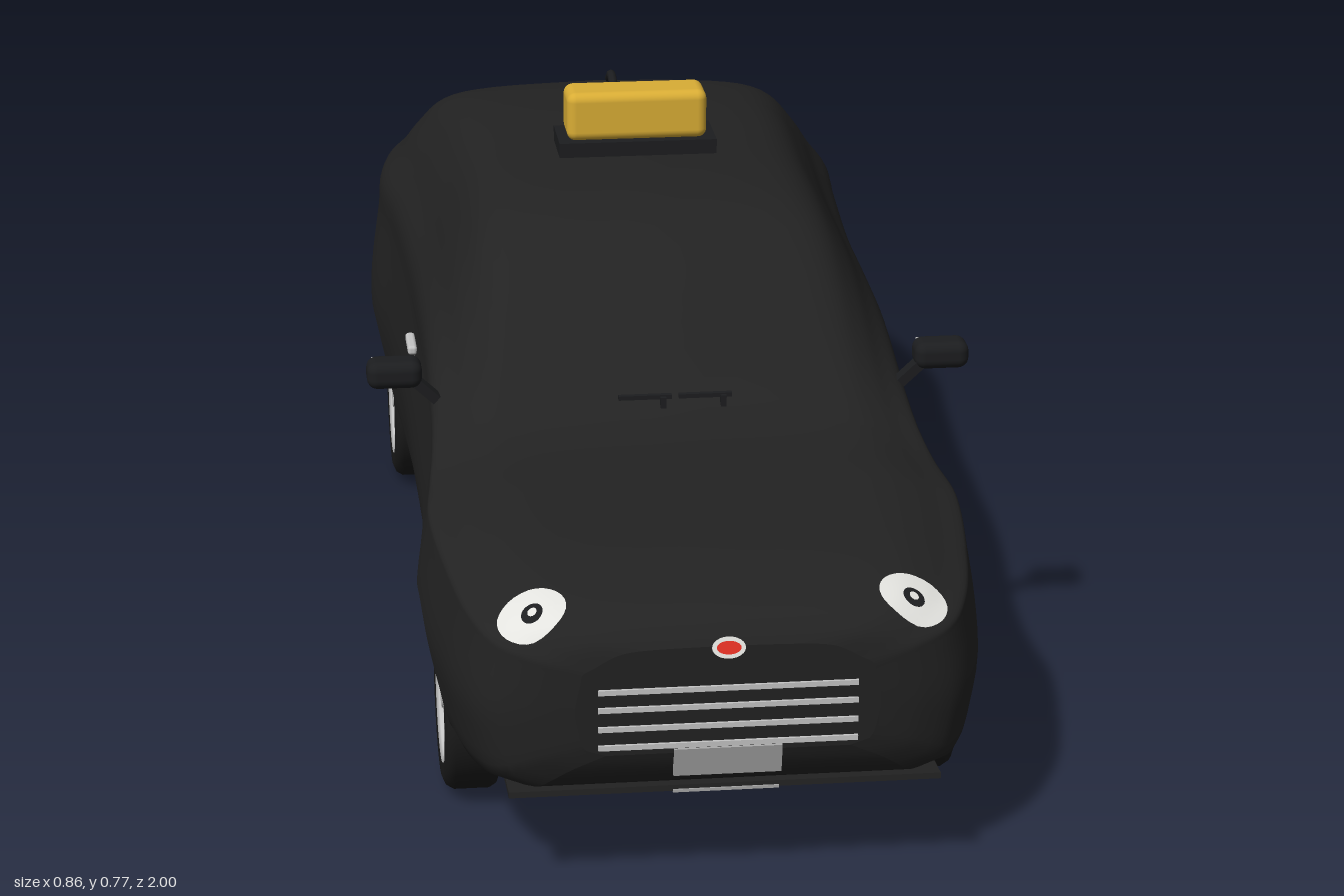
import * as THREE from 'three';
import { RoundedBoxGeometry } from 'three/addons/geometries/RoundedBoxGeometry.js';

const mat = (name, color, side = THREE.FrontSide) => new THREE.MeshStandardMaterial({ name, color, side });

// Smooth interpolation through rows [t, a, b, ...]
function curve(rows, t) {
  const n = rows.length - 1;
  let i = 0;
  while (i < n - 1 && t > rows[i + 1][0]) i++;
  const h = rows[i + 1][0] - rows[i][0];
  const k = THREE.MathUtils.clamp((t - rows[i][0]) / h, 0, 1);
  const slope = (m, c) => {
    const a = rows[Math.max(m - 1, 0)], b = rows[Math.min(m + 1, n)];
    return (b[c] - a[c]) / (b[0] - a[0]);
  };
  return rows[0].slice(1).map((_, q) => {
    const c = q + 1, k2 = k * k, k3 = k2 * k;
    return (2 * k3 - 3 * k2 + 1) * rows[i][c] + (k3 - 2 * k2 + k) * h * slope(i, c)
      + (3 * k2 - 2 * k3) * rows[i + 1][c] + (k3 - k2) * h * slope(i + 1, c);
  });
}

// Body stations: z, half width, bottom, shoulder, top
const BODY = [
  [-1, .22, .26, .40, .45], [-.985, .265, .215, .42, .48], [-.95, .305, .18, .43, .505],
  [-.88, .338, .16, .44, .545], [-.78, .36, .14, .445, .593], [-.6, .38, .118, .45, .652],
  [-.42, .367, .112, .45, .675], [-.2, .357, .11, .44, .679], [0, .355, .11, .44, .677],
  [.12, .355, .11, .44, .66], [.22, .355, .11, .435, .612], [.34, .356, .11, .42, .525],
  [.42, .361, .11, .405, .468], [.5, .37, .112, .39, .445], [.62, .38, .116, .385, .436],
  [.8, .362, .124, .365, .42], [.9, .34, .132, .35, .402], [.96, .305, .146, .335, .38],
  [.985, .25, .18, .32, .36], [.993, .2, .2, .305, .348],
];
// Flank: height share, width share. Roof: step, height share, width share
const SIDE = [[0, .8], [.05, .9], [.12, .945], [.3, .975], [.6, 1], [1, .96]];
const ROOF = [[0, 0, 1], [1, .25, .985], [2, .46, .9], [3, .67, .82], [4, .88, .7], [5, .965, .48], [6, 1, 0]];
const WHEEL_Z = [.617, -.59], ARCH_R = .155;
const Z0 = -1, Z1 = .993;

function lowerEdge(z, bottom) {
  for (const c of WHEEL_Z) {
    const d = (z - c) / ARCH_R;
    if (Math.abs(d) < .9999) return Math.max(bottom, .112 + .178 * Math.sqrt(1 - d * d));
  }
  return bottom;
}

// Point of the left skin: v from -1 (lower edge) to 0 (shoulder) to 6 (centre line)
function skin(z, v) {
  const [w, yb, ys, yt] = curve(BODY, z);
  if (v <= 0) {
    const s0 = (lowerEdge(z, yb) - yb) / (ys - yb);
    const s = s0 + (1 - s0) * (v + 1);
    return [w * curve(SIDE, s)[0], yb + s * (ys - yb), z];
  }
  const [f, x] = curve(ROOF, v);
  return [.96 * w * x, ys + f * (yt - ys), z];
}

// Height of the upper skin over a ground point
function topY(x, z) {
  let lo = 0, hi = 6;
  for (let i = 0; i < 24; i++) {
    const m = (lo + hi) / 2;
    if (skin(z, m)[0] > Math.abs(x)) lo = m; else hi = m;
  }
  return skin(z, lo)[1];
}

function grid(nu, nv, fn) {
  const pos = [], idx = [];
  for (let i = 0; i <= nu; i++) for (let j = 0; j <= nv; j++) pos.push(...fn(i, j));
  for (let i = 0; i < nu; i++) for (let j = 0; j < nv; j++) {
    const a = i * (nv + 1) + j, c = a + nv + 1;
    idx.push(a, a + 1, c, a + 1, c + 1, c);
  }
  const g = new THREE.BufferGeometry();
  g.setAttribute('position', new THREE.Float32BufferAttribute(pos, 3));
  g.setIndex(idx);
  g.computeVertexNormals();
  return g;
}

export function createModel() {
  const M = {
    paint: mat('black paint', 0x222222, THREE.DoubleSide),
    trim: mat('dark trim', 0x1c1d1f),
    tyre: mat('tyre rubber', 0x1a1a1a),
    silver: mat('silver', 0xc4c4c4, THREE.DoubleSide),
    alloy: mat('alloy grey', 0xa6a6a6),
    glass: mat('lamp white', 0xe2e2de, THREE.DoubleSide),
    red: mat('lamp red', 0xe23024, THREE.DoubleSide),
    yellow: mat('sign yellow', 0xd9ad35),
  };
  const car = new THREE.Group();
  car.name = 'car';
  const add = (name, geo, m, x = 0, y = 0, z = 0, parent = car) => {
    const mesh = new THREE.Mesh(geo, m);
    mesh.name = name;
    mesh.position.set(x, y, z);
    parent.add(mesh);
    return mesh;
  };
  const box = (w, h, d) => new THREE.BoxGeometry(w, h, d);

  // Body skin, with extra stations along the wheel arches
  const zs = [];
  for (let i = 0; i <= 80; i++) {
    const z = (Z0 + Z1) / 2 - (Z1 - Z0) / 2 * Math.cos(Math.PI * i / 80);
    if (WHEEL_Z.every(c => Math.abs(z - c) > ARCH_R + .002)) zs.push(z);
  }
  for (const c of WHEEL_Z) for (let i = 0; i <= 24; i++) zs.push(c + ARCH_R * Math.cos(Math.PI * i / 24));
  zs.sort((a, b) => a - b);
  const vs = [];
  for (let i = 0; i < 12; i++) vs.push(i / 12 - 1);
  for (let i = 0; i <= 24; i++) vs.push(i / 4);
  const last = vs.length - 1;
  const around = (z, j) => {
    const p = skin(z, vs[last - Math.abs(last - j)]);
    if (j > last) p[0] *= -1;
    return p;
  };
  add('bodyShell', grid(zs.length - 1, 2 * last, (i, j) => around(zs[i], j)), M.paint);

  // Nose and tail faces
  for (const [name, z, turn] of [['noseFace', Z1, 0], ['tailFace', Z0, Math.PI]]) {
    const pts = [];
    for (let j = 0; j <= 2 * last; j++) pts.push(new THREE.Vector2(...around(z, j).slice(0, 2)));
    add(name, new THREE.ShapeGeometry(new THREE.Shape(pts)), M.paint, 0, 0, z).rotation.y = turn;
  }

  // Floor, narrowed between the wheels
  add('floor', grid(zs.length - 1, 2, (i, j) => {
    const z = zs[i], [w, yb] = curve(BODY, z);
    const e = lowerEdge(z, yb) > yb + .005 ? Math.min(.8 * w, .24) : .8 * w;
    return [(j - 1) * e, yb, z];
  }), M.paint);
  add('chinLip', box(.57, .008, .13), M.paint, 0, .134, .908).rotation.x = -.1;

  // Wheel arch linings
  for (const c of WHEEL_Z) for (const s of [1, -1]) {
    add('archLining', grid(24, 1, (i, j) => {
      const p = skin(c + ARCH_R * Math.cos(Math.PI * i / 24), -1);
      return [s * (j ? .24 : p[0]), p[1], p[2]];
    }), M.paint);
  }

  // Wheels, built around the y axis and turned outward
  const lathe = pts => new THREE.LatheGeometry(pts.map(p => new THREE.Vector2(...p)), 40);
  const tyreGeo = lathe([[.09, -.036], [.112, -.039], [.124, -.034], [.13, -.024], [.13, .024],
    [.124, .034], [.112, .039], [.09, .036]]);
  const rimGeo = lathe([[.086, -.036], [.08, -.028], [.08, .02], [.086, .034], [.093, .038], [.093, .034]]);
  const spokeShape = new THREE.Shape([[.015, -.009], [.052, -.01], [.083, -.021], [.083, .021], [.052, .01], [.015, .009]]
    .map(p => new THREE.Vector2(...p)));
  const spokeGeo = new THREE.ExtrudeGeometry(spokeShape, { depth: .01, bevelEnabled: false }).rotateX(-Math.PI / 2);
  for (const z of WHEEL_Z) for (const s of [1, -1]) {
    const wheel = new THREE.Group();
    wheel.name = (s > 0 ? 'left' : 'right') + (z > 0 ? 'FrontWheel' : 'RearWheel');
    wheel.position.set(s * .314, .13, z);
    wheel.rotation.z = -s * Math.PI / 2;
    add('tyre', tyreGeo, M.tyre, 0, 0, 0, wheel);
    add('rim', rimGeo, M.silver, 0, 0, 0, wheel);
    for (let k = 0; k < 6; k++) add('spoke', spokeGeo, M.alloy, 0, .018, 0, wheel).rotation.y = k * Math.PI / 3;
    add('hub', new THREE.CylinderGeometry(.026, .028, .03, 20), M.alloy, 0, .018, 0, wheel);
    add('hubCap', new THREE.CylinderGeometry(.018, .018, .004, 20), M.silver, 0, .034, 0, wheel);
    car.add(wheel);
  }

  // Lamps and door details, laid on the skin on both sides
  const drape = (x, z, rx, rz, lift) => grid(6, 28, (i, j) => {
    const a = j / 28 * Math.PI * 2, px = x + rx * i / 6 * Math.cos(a), pz = z + rz * i / 6 * Math.sin(a);
    return [px, topY(px, pz) + lift, pz + lift * .5];
  });
  for (const s of [1, -1]) {
    add('headlight', drape(s * .25, .932, .045, .038, .004), M.glass);
    add('headlightRing', drape(s * .25, .936, .014, .014, .006), M.trim);
    add('headlightBulb', drape(s * .25, .936, .006, .006, .008), M.glass);
    add('tailLight', grid(10, 8, (i, j) => {
      const p = skin(-.94 - .0595 * i / 10, .7 + 3.5 * j / 8);
      return [s * (p[0] + .003), p[1] + .003, p[2] - .004];
    }), M.red);
    add('doorHandle', new RoundedBoxGeometry(.014, .014, .068, 2, .005), M.silver, s * .349, .425, -.005);

    // Door mirrors
    add('mirrorHousing', new RoundedBoxGeometry(.078, .04, .05, 3, .015), M.trim, s * .391, .496, .315);
    add('mirrorGlass', box(.062, .028, .004), M.silver, s * .391, .496, .289);
    const arm = add('mirrorArm', box(.05, .014, .022), M.trim, s * .35, .473, .32);
    arm.rotation.z = s * .75;
  }

  // Grille bars, number plates and round badges
  for (const y of [.29, .265, .238, .212]) add('grilleBar', box(.34, .007, .008), M.silver, 0, y, .993);
  add('frontPlate', box(.142, .042, .008), M.alloy, 0, .186, .988).rotation.x = .2;
  add('bumperStrip', box(.14, .004, .006), M.alloy, 0, .137, .972);
  add('rearPlate', box(.15, .062, .008), M.alloy, 0, .3, -1);
  for (const [y, z, tilt] of [[.345, .992, -.35], [.365, -1, Math.PI]]) {
    const badge = new THREE.Group();
    badge.name = 'badge';
    badge.position.set(0, y, z);
    badge.rotation.x = tilt;
    add('badgeRim', new THREE.CylinderGeometry(.022, .022, .006, 24).rotateX(Math.PI / 2).scale(1, .65, 1), M.glass, 0, 0, 0, badge);
    add('badgeCentre', new THREE.CylinderGeometry(.016, .016, .006, 24).rotateX(Math.PI / 2).scale(1, .55, 1), M.red, 0, 0, .002, badge);
    car.add(badge);
  }

  // Roof sign
  add('signBase', box(.236, .022, .098), M.trim, 0, .692, -.135);
  add('signBox', new RoundedBoxGeometry(.21, .074, .076, 4, .014), M.yellow, 0, .738, -.135);

  // Roof aerial and wipers
  const aerial = new THREE.CatmullRomCurve3([[-.43, .676], [-.455, .689], [-.485, .695], [-.515, .68]]
    .map(p => new THREE.Vector3(0, p[1], p[0])));
  add('aerial', new THREE.TubeGeometry(aerial, 12, .007, 8), M.trim);
  for (const x of [-.045, .04]) {
    add('wiperBlade', box(.075, .006, .008), M.trim, x, topY(x, .415) + .011, .415);
    add('wiperArm', box(.008, .018, .012), M.trim, x + .025, topY(x, .415) + .003, .419);
  }
  return car;
}
